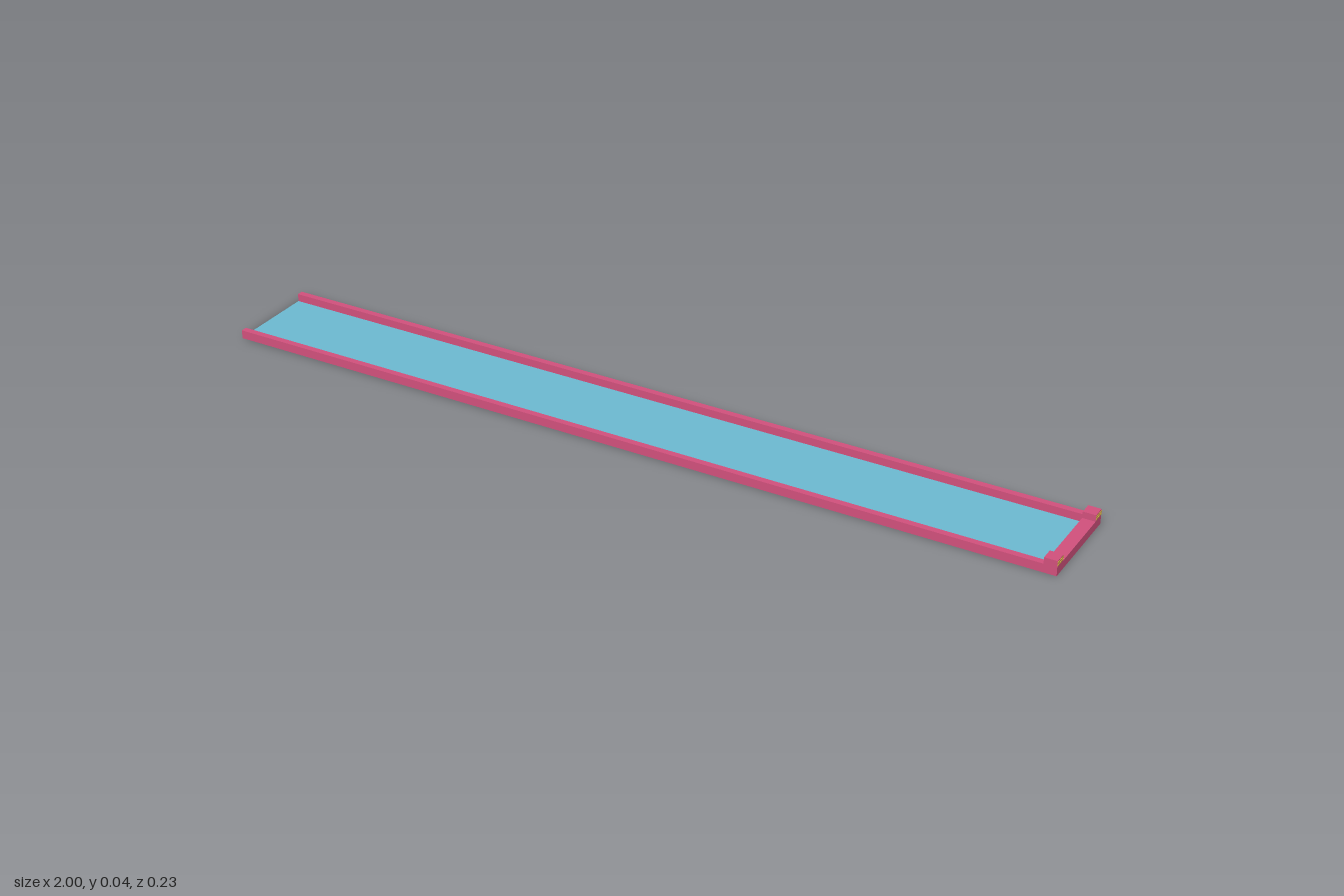
import * as THREE from 'three';

export function createModel() {
  const model = new THREE.Group();
  model.name = 'channelTray';

  const pink = new THREE.MeshStandardMaterial({ color: 0xd0507c });
  pink.name = 'pink frame';
  const blue = new THREE.MeshStandardMaterial({ color: 0x6cb8d0, side: THREE.DoubleSide });
  blue.name = 'blue panel';
  const yellow = new THREE.MeshStandardMaterial({ color: 0xd2b445 });
  yellow.name = 'yellow stripe';

  // Box given by its minimum and maximum corners
  function box(name, material, min, max) {
    const size = max.map((v, i) => v - min[i]);
    const mesh = new THREE.Mesh(new THREE.BoxGeometry(...size), material);
    mesh.position.set(...max.map((v, i) => (v + min[i]) / 2));
    mesh.name = name;
    model.add(mesh);
  }

  const halfWidth = 0.114, railInner = 0.099, postInner = 0.085;
  const barX = 0.97, endX = 0.999, railTop = 0.02, postTop = 0.035;

  // Thin floor sheet, open at the -x end
  const panel = new THREE.Mesh(new THREE.PlaneGeometry(1 + barX, railInner * 2), blue);
  panel.rotation.x = -Math.PI / 2;
  panel.position.set((barX - 1) / 2, 0.002, 0);
  panel.name = 'floorPanel';
  model.add(panel);

  // Bar closing the +x end
  box('endBar', pink, [barX, 0, -railInner], [endX, railTop, railInner]);

  // Mirrored rails, raised corner posts and their stripes
  for (const side of [1, -1]) {
    const label = side > 0 ? 'front' : 'back';
    const span = (a, b) => (side > 0 ? [a, b] : [-b, -a]);
    const [r0, r1] = span(railInner, halfWidth);
    const [p0, p1] = span(postInner, halfWidth);
    box(label + 'Rail', pink, [-1, 0, r0], [endX, railTop, r1]);
    box(label + 'Post', pink, [barX, railTop, p0], [endX, postTop, p1]);
    for (const y of [0.025, 0.031]) {
      box(label + 'PostStripe', yellow, [endX, y - 0.0015, p0], [1, y + 0.0015, p1]);
    }
  }

  return model;
}
